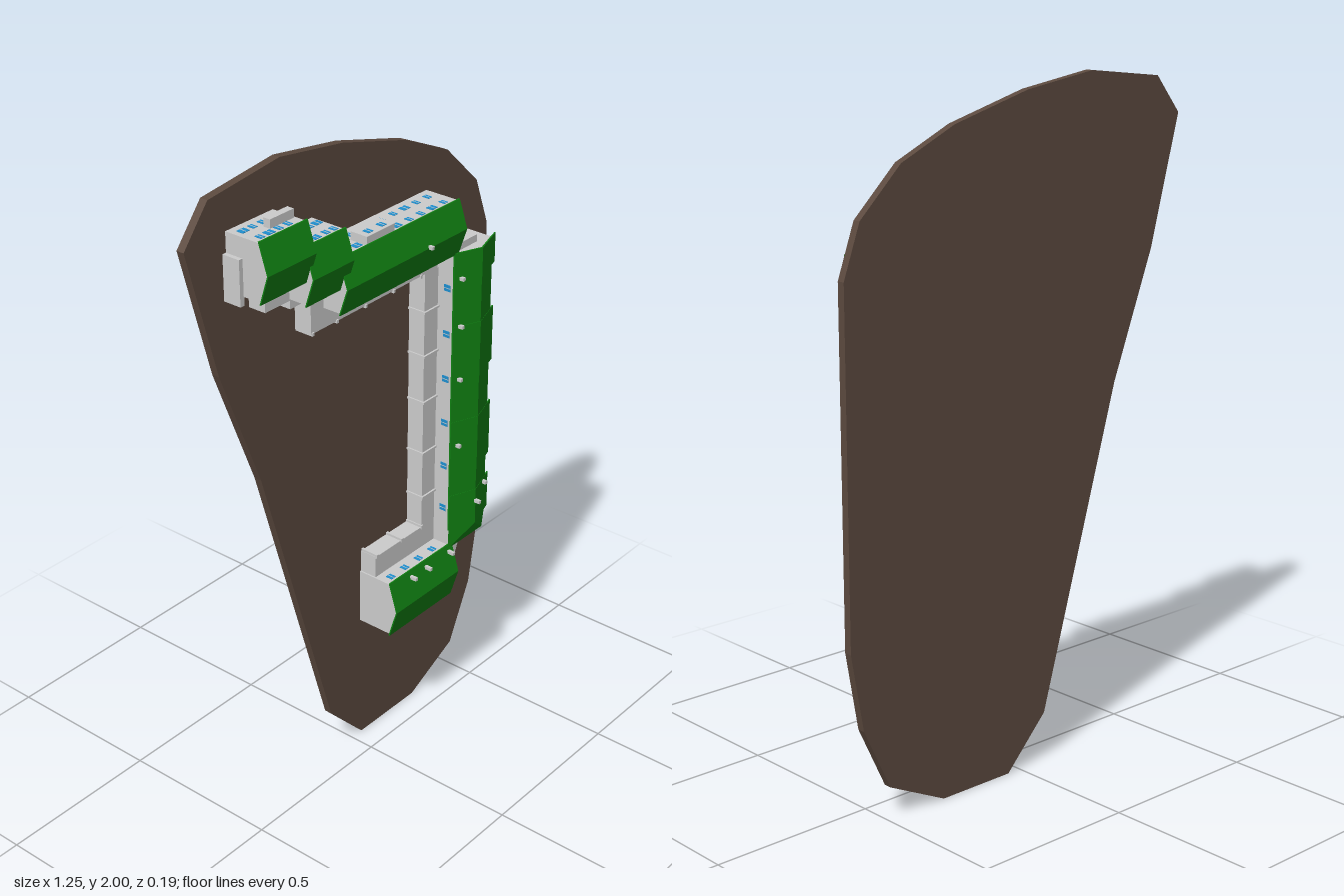
import * as THREE from 'three';

const mat = (color) => new THREE.MeshStandardMaterial({ color, flatShading: true, side: THREE.DoubleSide });
const GROUND = -0.076, EAVE = 0.04, RIDGE = 0.068;

export function createModel() {
  const model = new THREE.Group();
  const grey = mat(0xcccccc), green = mat(0x108012), brown = mat(0x5c4a3f), blue = mat(0x1e8fd0);

  const add = (name, geo, material, parent = model) => {
    const mesh = new THREE.Mesh(geo, material);
    mesh.name = name;
    parent.add(mesh);
    return mesh;
  };
  const box = (name, x0, x1, y0, y1, z0, z1, material = grey, parent = model) =>
    add(name, new THREE.BoxGeometry(x1 - x0, y1 - y0, z1 - z0), material, parent)
      .position.set((x0 + x1) / 2, (y0 + y1) / 2, (z0 + z1) / 2);
  const polygon = (pts) => new THREE.Shape(pts.map(([a, b]) => new THREE.Vector2(a, b)));

  // Extrude a cross-section (across, height) along the x or y axis
  const along = (axis, pts, from, to) => {
    const geo = new THREE.ExtrudeGeometry(polygon(pts), { depth: to - from, bevelEnabled: false });
    const X = new THREE.Vector3(1, 0, 0), Y = new THREE.Vector3(0, 1, 0), Z = new THREE.Vector3(0, 0, 1);
    const m = new THREE.Matrix4();
    if (axis === 'x') m.makeBasis(Y, Z, X).setPosition(from, 0, 0);
    else m.makeBasis(X, Z, Y.negate()).setPosition(0, to, 0);
    return geo.applyMatrix4(m);
  };

  // Thin folded roof sheet
  const roof = (name, axis, from, to, a, r, b, za, zr, zb) => {
    const t = 0.004;
    add(name, along(axis, [[a, za], [r, zr], [b, zb], [b, zb - t], [r, zr - t], [a, za - t]], from, to), green);
  };
  // Gabled walls that reach up to the roof
  const walls = (name, axis, from, to, a, r, b, za, zr, zb) =>
    add(name, along(axis, [[a, GROUND], [b, GROUND], [b, zb], [r, zr], [a, za]], from, to), grey);

  // Window on a wall facing +y / -y (dir x) or +x / -x (dir y)
  const windows = new THREE.Group();
  windows.name = 'windows';
  model.add(windows);
  const pane = (axis, pos, wall, z, wide = 0.02) => {
    const h = 0.011, w = wide / 2, d = 0.0015;
    const put = (name, a, b, t, hh, m) => axis === 'x'
      ? box(name, pos + a, pos + b, wall - t, wall + t, z - hh, z + hh, m, windows)
      : box(name, wall - t, wall + t, pos + a, pos + b, z - hh, z + hh, m, windows);
    put('windowPane', -w, w, d, h, blue);
    put('windowBar', -0.001, 0.001, d + 0.0007, h, grey);
  };

  // Ground plate
  const outline = [[-.625, 1.86], [-.535, 1.97], [-.27, 2], [-.025, 1.963], [.24, 1.89], [.425, 1.805],
    [.565, 1.67], [.62, 1.52], [.62, .515], [.58, .285], [.49, .095], [.295, 0], [.045, 0],
    [-.098, .15], [-.375, 1.1], [-.52, 1.475]];
  const plate = new THREE.ExtrudeGeometry(polygon(outline), { depth: 0.024, bevelEnabled: false });
  add('groundPlate', plate.translate(0, 0, -0.1), brown);

  // Wings running left to right: x0, x1, y0, y1
  const wings = [
    ['endBlock', -.48, -.298, 1.70, 1.873],
    ['middleBlock', -.31, -.15, 1.63, 1.80],
    ['northWing', -.177, .333, 1.555, 1.72],
    ['southWing', .037, .333, .415, .60],
  ];
  for (const [name, x0, x1, y0, y1] of wings) {
    const mid = (y0 + y1) / 2, i = 0.005;
    walls(name + 'Walls', 'x', x0 + 0.003, x1 - 0.002, y0 + i, mid, y1 - i, EAVE - 0.002, RIDGE - 0.003, EAVE - 0.002);
    roof(name + 'Roof', 'x', x0, x1, y0, mid, y1, EAVE, RIDGE, EAVE);
  }

  // East wing with wider roof bays and a hipped lower end
  const bays = [[1.47, 1.56], [1.155, 1.33], [.84, 1.02], [.65, .77]];
  walls('eastWingWalls', 'y', .65, 1.555, .32, .40, .475, .038, .07, .046);
  box('eastWingEndWall', .32, .475, .59, .65, GROUND, .038);
  roof('eastWingRoof', 'y', .65, 1.56, .315, .40, .482, .04, .074, .047);
  for (const [y0, y1] of bays) {
    roof('eastBayRoof', 'y', y0, y1, .315, .40, .505, .041, .075, .04);
    box('eastBayWall', .47, .484, y0 + .005, y1 - .005, GROUND, .044);
  }
  const hip = new THREE.BufferGeometry();
  const apex = [.40, .65, .074], p = [.315, .65, .04], q = [.315, .585, .04], r = [.482, .585, .04], s = [.482, .65, .047];
  hip.setAttribute('position', new THREE.Float32BufferAttribute([p, q, apex, q, r, apex, r, s, apex].flat(), 3));
  hip.computeVertexNormals();
  add('eastWingHip', hip, green);

  // Low galleries around the courtyard, with dividers
  const gTop = -0.02;
  box('northGallery', -.225, .315, 1.50, 1.57, GROUND, gTop);
  box('northGalleryEnd', -.225, -.17, 1.50, 1.62, GROUND, gTop);
  box('eastGallery', .26, .325, .60, 1.50, GROUND, gTop);
  box('southGallery', .045, .325, .595, .665, GROUND, gTop);
  for (const y of [.77, .92, 1.09, 1.24, 1.38]) box('galleryDivider', .255, .32, y - .003, y + .003, GROUND, gTop + .006);
  for (const x of [-.22, -.12, 0, .12, .24]) box('galleryPost', x - .004, x + .004, 1.495, 1.505, GROUND, gTop + .004);
  for (const x of [.05, .165, .26]) box('galleryPost', x - .004, x + .004, .66, .672, GROUND, gTop + .004);

  // Annexes and balconies
  box('endBlockPorch', -.40, -.305, 1.63, 1.71, GROUND, gTop);
  box('middleBlockPorch', -.305, -.215, 1.605, 1.64, GROUND, gTop);
  box('endBlockBackBalcony', -.395, -.305, 1.86, 1.893, -.022, 0);
  box('endBlockSideBalcony', -.49, -.475, 1.68, 1.81, GROUND, -.02);
  box('northOriel', -.06, .055, 1.71, 1.74, -.022, .035);
  for (const y of [1.25, .94]) box('eastBalcony', .48, .496, y - .04, y + .04, -.025, -.005);
  box('cornerBlock', .33, .43, 1.55, 1.577, GROUND, .03);

  // Sloping stair flanks
  const ramp = (x0, x1, yLow, yHigh, z) =>
    add('stairFlank', along('x', [[yLow, GROUND], [yHigh, GROUND], [yHigh, z]], x0, x1), grey);
  ramp(.475, .49, .59, .69, -.02);
  ramp(.33, .342, 1.57, 1.70, 0);

  // Rounded terrace at the lower corner
  const terrace = new THREE.Shape();
  terrace.moveTo(.32, .415);
  terrace.lineTo(.40, .415);
  terrace.quadraticCurveTo(.45, .43, .475, .515);
  terrace.lineTo(.475, .60);
  terrace.lineTo(.32, .60);
  const terraceGeo = new THREE.ExtrudeGeometry(terrace, { depth: .036, bevelEnabled: false, curveSegments: 8 });
  add('roundedTerrace', terraceGeo.translate(0, 0, GROUND), grey);
  box('terraceHut', .33, .40, .515, .59, GROUND, -.005);

  // Windows on the outer long sides, two storeys
  const low = -.043, high = .013;
  const rows = [
    [1.868, [-.447, -.413, -.378, -.344]],
    [1.795, [-.275, -.24, -.20, -.17]],
    [1.715, [-.123, -.077, -.037, .037, .09, .143, .193, .243, .293]],
  ];
  for (const [wall, xs] of rows) xs.forEach((x, i) => {
    pane('x', x, wall, low, i % 3 ? .016 : .026);
    pane('x', x, wall, high, i % 3 === 1 ? .026 : .016);
  });
  for (const x of [-.03, .025]) pane('x', x, 1.74, high);
  for (const y of [.72, .80, .88, .97, 1.05, 1.12, 1.20, 1.28, 1.36, 1.435, 1.52]) {
    const wall = bays.some(([a, b]) => y > a && y < b) ? .484 : .475;
    pane('y', y, wall, high, .024);
    pane('y', y, wall, low + .008, .014);
  }
  // Courtyard side and lower front
  for (let i = 0; i < 6; i++) {
    pane('x', -.12 + i * .075, 1.56, high);
    pane('y', .72 + i * .145, .32, high);
  }
  for (let i = 0; i < 4; i++) {
    const x = .075 + i * .065;
    pane('x', x, .595, high);
    for (const z of [low, high]) pane('x', x, .42, z);
  }
  pane('y', .50, .331, high, .015);

  // Chimneys and vents
  const chimneys = [[.167, 1.64, .08], [.40, .73, .093], [.463, .76, .068], [.13, .58, .068], [.20, .58, .068],
    [.31, .58, .068], [.335, 1.48, .062], [.335, 1.33, .062], [.335, 1.16, .062], [.335, .94, .062]];
  for (const [x, y, top] of chimneys) box('chimney', x - .005, x + .005, y - .005, y + .005, .03, top);

  return model;
}
